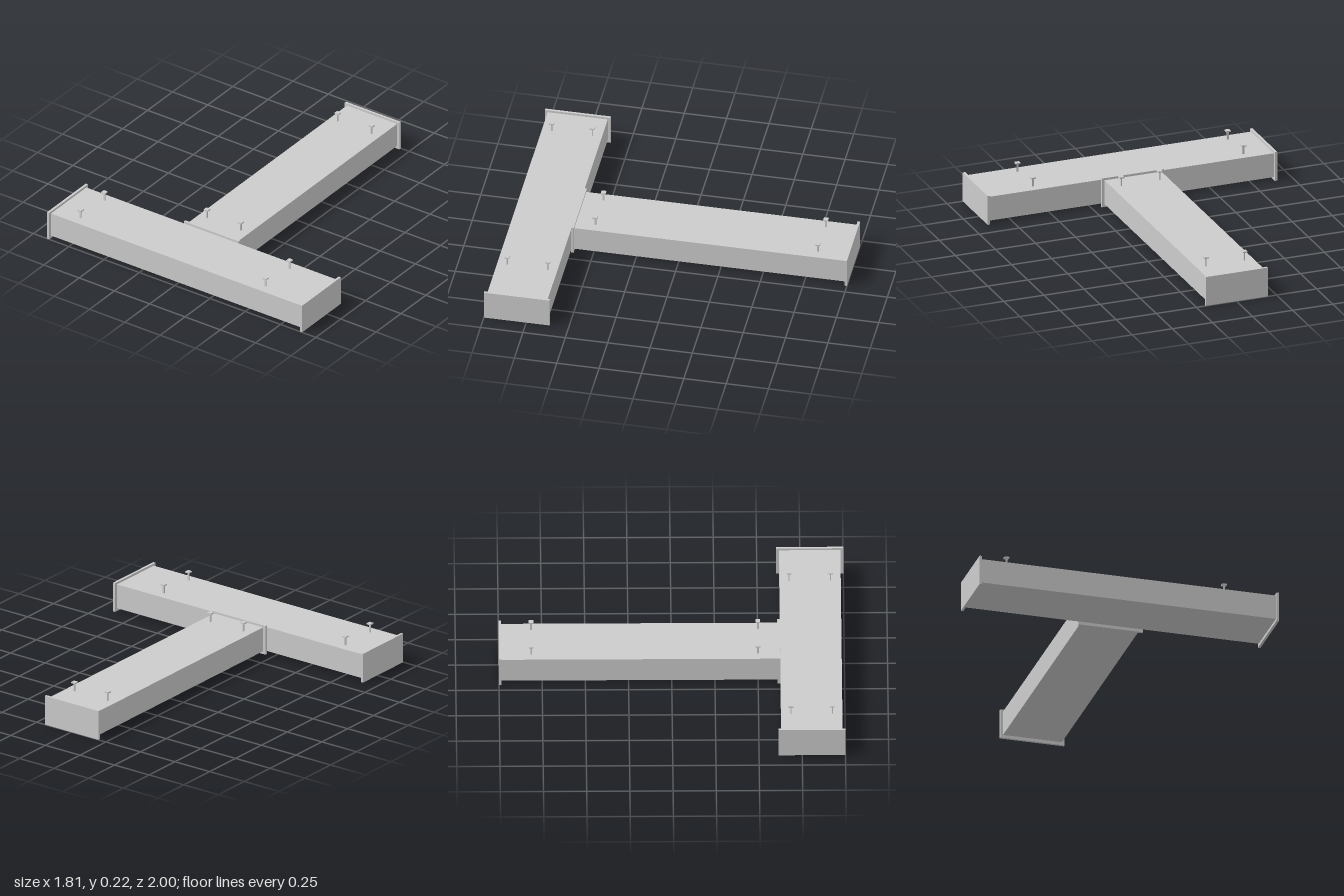
import * as THREE from 'three';

const material = new THREE.MeshStandardMaterial({ color: 0xcccccc, flatShading: true });

function box(name, size, position, parent) {
  const mesh = new THREE.Mesh(new THREE.BoxGeometry(...size), material);
  mesh.name = name;
  mesh.position.set(...position);
  parent.add(mesh);
}

// Flat-headed stud with a flat shank, wider along the beam (local x)
function makeStud(x, z) {
  const stud = new THREE.Group();
  stud.name = 'stud';
  box('studShank', [0.011, 0.052, 0.006], [0, 0.192, 0], stud);
  box('studHead', [0.028, 0.008, 0.028], [0, 0.221, 0], stud);
  stud.position.set(x, 0, z);
  return stud;
}

// Beam along local x, with an end plate at each end and four studs on top
function makeBeam(name, length, studXs, studZs) {
  const beam = new THREE.Group();
  beam.name = name;
  const plate = 0.015;
  box('beamBody', [length - 2 * plate, 0.149, 0.355], [0, 0.0925, 0], beam);
  for (const side of [-1, 1]) {
    box('endPlate', [plate, 0.18, 0.388], [side * (length - plate) / 2, 0.09, 0], beam);
  }
  for (const x of studXs) for (const z of studZs) beam.add(makeStud(x, z));
  return beam;
}

export function createModel() {
  const model = new THREE.Group();
  model.name = 'teeBeams';

  // Front beam, running left to right
  const crossBeam = makeBeam('crossBeam', 1.806, [-0.72, 0.592], [-0.121, 0.119]);
  crossBeam.position.z = 0.806;
  model.add(crossBeam);

  // Rear beam, running front to back (local +x points to the back)
  const stemBeam = makeBeam('stemBeam', 1.628, [-0.686, 0.627], [-0.121, 0.119]);
  stemBeam.rotation.y = Math.PI / 2;
  stemBeam.position.set(-0.003, 0, -0.186);
  model.add(stemBeam);

  return model;
}
